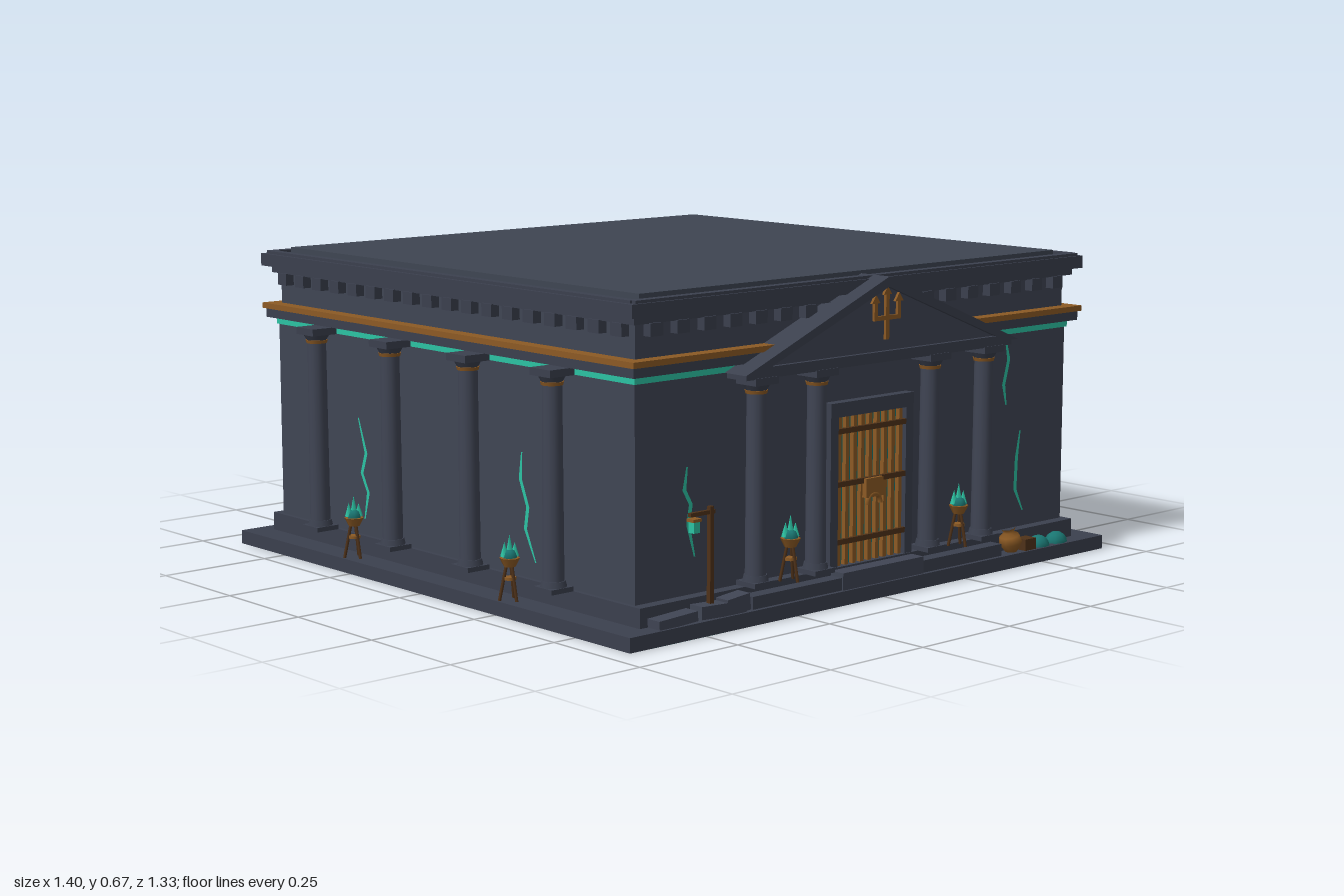
import * as THREE from 'three';

const mat = (name, color, side = THREE.FrontSide) => {
  const m = new THREE.MeshStandardMaterial({ color, side });
  m.name = name;
  return m;
};

export function createModel() {
  const stone = mat('slate stone', 0x404554);
  const trim = mat('trim stone', 0x3b404e);
  const roofMat = mat('roof slate', 0x3e4552);
  const bronze = mat('bronze', 0x8c5a24);
  const wood = mat('dark wood', 0x4f3219);
  const glow = mat('teal glow', 0x2cc3a3, THREE.DoubleSide);
  const deep = mat('deep teal', 0x1a7672);

  const root = new THREE.Group();
  root.name = 'temple';
  const add = (name, geo, material, x = 0, y = 0, z = 0, parent = root) => {
    const m = new THREE.Mesh(geo, material);
    m.name = name;
    m.position.set(x, y, z);
    parent.add(m);
    return m;
  };
  const box = (name, w, h, d, material, x, y, z, parent) =>
    add(name, new THREE.BoxGeometry(w, h, d), material, x, y + h / 2, z, parent);
  const group = (name, x, y, z, ry = 0) => {
    const g = new THREE.Group();
    g.name = name;
    g.position.set(x, y, z);
    g.rotation.y = ry;
    root.add(g);
    return g;
  };

  // Base, walls and stacked entablature: [name, width, depth, bottom, top, material]
  [
    ['plinth', 1.4, 1.33, 0, 0.03, trim],
    ['upperStep', 1.28, 1.25, 0.03, 0.07, trim],
    ['walls', 1.26, 1.2, 0.07, 0.515, stone],
    ['glowStrip', 1.268, 1.208, 0.5, 0.515, glow],
    ['architrave', 1.3, 1.24, 0.515, 0.535, trim],
    ['bronzeBand', 1.312, 1.252, 0.535, 0.547, bronze],
    ['frieze', 1.25, 1.19, 0.547, 0.62, stone],
    ['lowerCornice', 1.28, 1.22, 0.615, 0.63, trim],
    ['cornice', 1.315, 1.25, 0.63, 0.657, trim],
    ['roof', 1.21, 1.17, 0.657, 0.67, roofMat],
  ].forEach(([name, w, d, y0, y1, m]) => box(name, w, y1 - y0, d, m, 0, y0, 0));
  // Raised lip round the roof edge
  for (const s of [-1, 1]) {
    box('roofLip', 1.29, 0.006, 0.02, trim, 0, 0.657, s * 0.61);
    box('roofLip', 0.02, 0.006, 1.22, trim, s * 0.64, 0.657, 0);
  }

  // Dentils below the cornice
  for (let i = 0; i < 18; i++) {
    const t = (i - 8.5) * 0.069;
    for (const s of [-1, 1]) {
      box('dentil', 0.032, 0.026, 0.022, trim, t, 0.59, s * 0.604);
      box('dentil', 0.022, 0.026, 0.032, trim, s * 0.634, 0.59, t * 0.96);
    }
  }

  // Columns
  const column = (x, z, top) => {
    const g = group('column', x, 0.07, z);
    const h = top - 0.07;
    const cyl = (name, r1, r2, hh, m, y) =>
      add(name, new THREE.CylinderGeometry(r1, r2, hh, 12), m, 0, y + hh / 2, 0, g);
    box('columnFoot', 0.056, 0.01, 0.056, trim, 0, 0, 0, g);
    cyl('columnRing', 0.024, 0.027, 0.012, trim, 0.01);
    cyl('columnShaft', 0.02, 0.022, h - 0.05, stone, 0.02);
    cyl('bronzeCollar', 0.024, 0.022, 0.007, bronze, h - 0.034);
    cyl('columnBell', 0.029, 0.021, 0.014, trim, h - 0.028);
    box('columnCap', 0.062, 0.015, 0.062, trim, 0, h - 0.015, 0, g);
  };
  for (const t of [-0.4, -0.133, 0.133, 0.4]) {
    column(-0.668, t, 0.515);
    column(0.668, t, 0.515);
    column(t, -0.634, 0.515);
  }
  for (const x of [-0.335, -0.167, 0.167, 0.335]) column(x, 0.626, 0.49);

  // Pediment with raised edge
  const triangle = (w, y0, y1) => new THREE.Shape([
    new THREE.Vector2(-w, y0), new THREE.Vector2(w, y0), new THREE.Vector2(0, y1)]);
  const ext = (shape, depth) => new THREE.ExtrudeGeometry(shape, { depth, bevelEnabled: false });
  add('pediment', ext(triangle(0.385, 0.505, 0.655), 0.07), stone, 0, 0, 0.585);
  const rim = triangle(0.4, 0.5, 0.664);
  rim.holes.push(triangle(0.33, 0.512, 0.643));
  add('pedimentRim', ext(rim, 0.08), trim, 0, 0, 0.585);
  box('porchBeam', 0.78, 0.016, 0.07, trim, 0, 0.488, 0.62);

  // Trident emblem
  const emblem = group('trident', 0, 0.535, 0.658);
  box('tridentShaft', 0.01, 0.1, 0.006, bronze, 0, 0, 0, emblem);
  box('tridentBar', 0.076, 0.009, 0.006, bronze, 0, 0.04, 0, emblem);
  for (const s of [-1, 1]) box('tridentProng', 0.009, 0.04, 0.006, bronze, s * 0.034, 0.042, 0, emblem);
  for (const s of [-1, 0, 1]) {
    add('tridentTip', ext(triangle(0.012, 0, 0.018), 0.006), bronze, s * 0.034, s ? 0.076 : 0.092, -0.003, emblem);
  }

  // Gate with frame, bars and lock
  box('gateBacking', 0.2, 0.31, 0.006, deep, 0, 0.07, 0.603);
  for (const s of [-1, 1]) box('gateJamb', 0.022, 0.31, 0.03, trim, s * 0.111, 0.07, 0.608);
  box('gateLintel', 0.244, 0.03, 0.03, trim, 0, 0.38, 0.608);
  for (let i = 0; i < 9; i++) box('gateBar', 0.01, 0.31, 0.01, bronze, (i - 4) * 0.0225, 0.07, 0.612);
  for (const y of [0.115, 0.235, 0.345]) box('gateCrossbar', 0.2, 0.011, 0.008, wood, 0, y, 0.619);
  box('lockPlate', 0.05, 0.04, 0.012, bronze, 0, 0.205, 0.625);
  const shackle = add('lockShackle', new THREE.TorusGeometry(0.02, 0.005, 6, 12, Math.PI), bronze, 0, 0.19, 0.627);
  shackle.scale.y = 1.1;

  // Front steps
  box('entranceStep', 0.74, 0.026, 0.04, trim, 0, 0.03, 0.636);
  box('entranceTread', 0.24, 0.036, 0.045, stone, 0, 0.03, 0.637);

  // Tripod torches with faceted flames
  const torch = (x, y, z) => {
    const g = group('torch', x, y, z);
    for (let i = 0; i < 3; i++) {
      const a = Math.PI / 2 + i * Math.PI * 2 / 3;
      const leg = add('torchLeg', new THREE.CylinderGeometry(0.0035, 0.0035, 0.075, 5), wood,
        Math.cos(a) * 0.014, 0.036, Math.sin(a) * 0.014, g);
      leg.rotation.set(-Math.sin(a) * 0.2, 0, Math.cos(a) * 0.2);
    }
    add('torchRing', new THREE.CylinderGeometry(0.013, 0.013, 0.006, 8), bronze, 0, 0.045, 0, g);
    add('torchBowl', new THREE.CylinderGeometry(0.021, 0.012, 0.018, 8), bronze, 0, 0.078, 0, g);
    add('flameBase', new THREE.SphereGeometry(0.016, 6, 4), deep, 0, 0.09, 0, g);
    [[0, 0, 0.045], [0.01, 0.004, 0.028], [-0.01, -0.004, 0.03]].forEach(([fx, fz, h]) =>
      add('flame', new THREE.ConeGeometry(0.009, h, 5), glow, fx, 0.09 + h / 2, fz, g));
  };
  for (const s of [-1, 1]) {
    torch(s * 0.25, 0.068, 0.638);
    for (const z of [-0.265, 0.27]) torch(s * 0.674, 0.03, z);
  }

  // Glowing cracks: thin ribbons widest in the middle
  const crack = (pts, x, z, ry) => {
    const edge = s => pts.map(([u, v], i) =>
      new THREE.Vector2(u + s * (i === 0 || i === pts.length - 1 ? 0.002 : 0.005), v));
    const shape = new THREE.Shape([...edge(-1), ...edge(1).reverse()]);
    const g = group('crack', x, 0, z, ry);
    add('crackRibbon', new THREE.ShapeGeometry(shape), glow, 0, 0, 0, g);
  };
  const zig = [[0, 0.325], [-0.005, 0.27], [0.018, 0.215], [0.01, 0.17], [0.042, 0.105]];
  const zag = [[0, 0.325], [0.026, 0.25], [0.01, 0.205], [0.032, 0.165], [0.018, 0.105]];
  crack([[-0.498, 0.325], [-0.505, 0.28], [-0.488, 0.25], [-0.495, 0.21], [-0.478, 0.145]], 0, 0.603, 0);
  crack([[0.43, 0.5], [0.443, 0.445], [0.428, 0.39], [0.437, 0.345]], 0, 0.603, 0);
  crack([[0.485, 0.285], [0.475, 0.225], [0.472, 0.155], [0.498, 0.105]], 0, 0.603, 0);
  for (const s of [-1, 1]) {
    crack(zig, s * 0.633, 0.26, s * Math.PI / 2);
    crack(zag, s * 0.633, -0.3 * 1, s * Math.PI / 2);
  }
  crack(zig, 0.23, -0.603, Math.PI);
  crack(zag, -0.3, -0.603, Math.PI);

  // Lantern post on the right front, with broken slabs
  box('lanternPost', 0.01, 0.2, 0.01, wood, -0.47, 0.05, 0.64);
  box('lanternArm', 0.065, 0.008, 0.008, wood, -0.493, 0.235, 0.64);
  box('lanternCap', 0.022, 0.006, 0.02, bronze, -0.513, 0.225, 0.64);
  box('lanternLight', 0.016, 0.022, 0.016, glow, -0.513, 0.203, 0.64);
  [[-0.57, 0.1, 0.02, 0.05], [-0.45, 0.12, 0.026, -0.04], [-0.41, 0.06, 0.034, 0.1]].forEach(([x, w, h, r]) => {
    box('brokenSlab', w, h, 0.035, stone, x, 0.03, 0.642).rotation.z = r;
  });

  // Fallen jar and glowing heaps on the left front
  const jar = [[0, 0], [0.014, 0], [0.026, 0.02], [0.022, 0.036], [0.011, 0.044], [0.016, 0.054]]
    .map(p => new THREE.Vector2(...p));
  const jarMesh = add('jar', new THREE.LatheGeometry(jar, 10), bronze, 0.42, 0.032, 0.642);
  jarMesh.material = bronze;
  jarMesh.rotation.z = 0.25;
  box('crate', 0.035, 0.025, 0.03, wood, 0.462, 0.03, 0.645);
  for (const x of [0.51, 0.57]) {
    const heap = add('heap', new THREE.SphereGeometry(0.028, 8, 4, 0, Math.PI * 2, 0, Math.PI / 2), deep, x, 0.03, 0.64);
    heap.scale.set(1, 0.85, 0.8);
  }

  // Pool seeping beneath the plinth
  box('pool', 0.2, 0.002, 0.055, deep, -0.55, -0.001, 0.635);
  return root;
}
